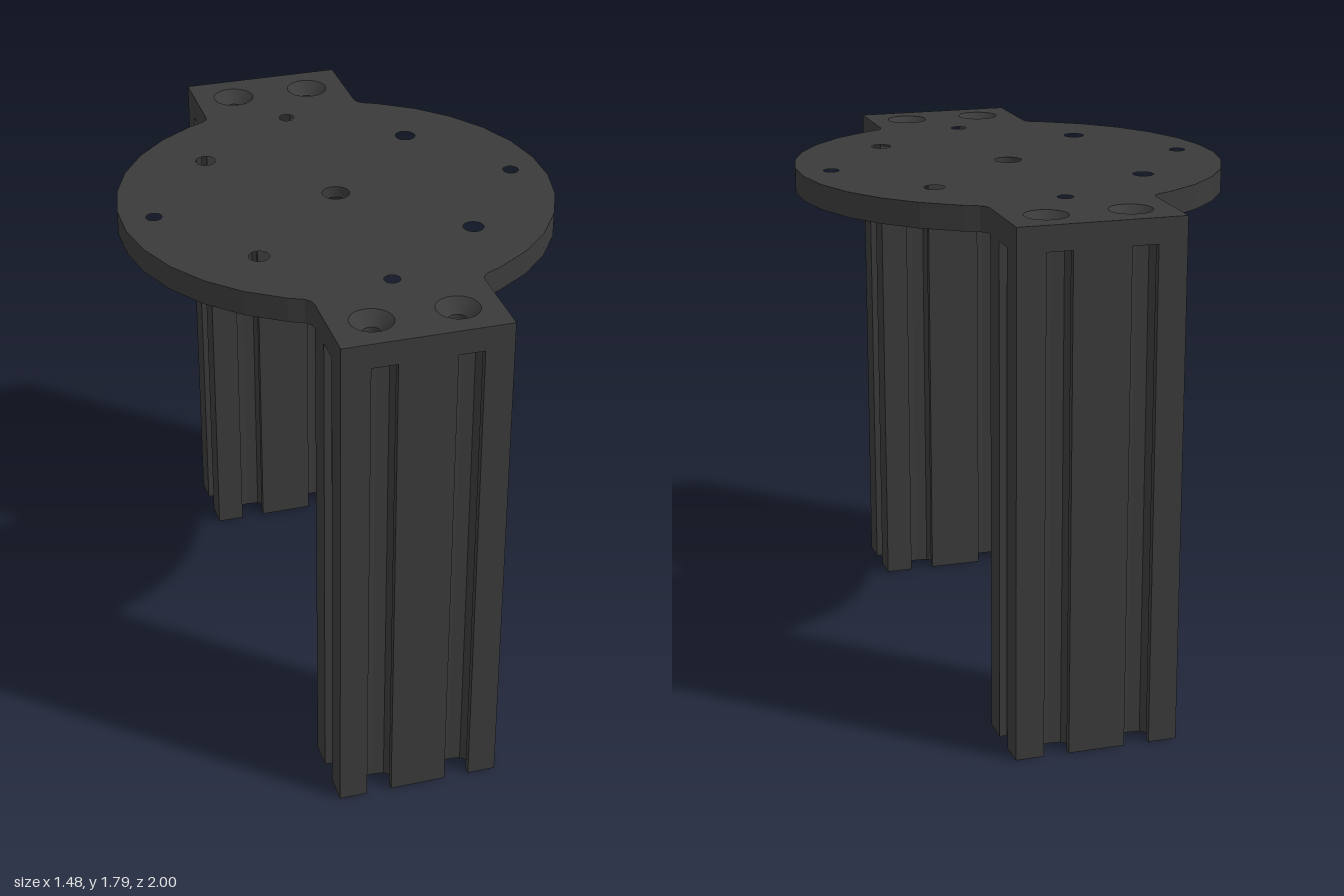
import * as THREE from 'three';

const MM = 0.014;          // one millimetre in model units
const LEG_TOP = 1.705;
const PLATE = 0.085;       // plate thickness

const material = new THREE.MeshStandardMaterial({ color: 0x3a3a3a });
const insertMaterial = new THREE.MeshStandardMaterial({
  color: 0x3a3a3a, flatShading: true, side: THREE.DoubleSide });

const V = (x, y) => new THREE.Vector2(x, y);

function circleHole(x, y, r) {
  return new THREE.Path().absarc(x, y, r, 0, Math.PI * 2, true);
}

// Extrude a flat shape upwards along y
function extrudeUp(shape, depth, curveSegments) {
  return new THREE.ExtrudeGeometry(shape, { depth, bevelEnabled: false, curveSegments })
    .rotateX(-Math.PI / 2);
}

// One T-slot: (sideways, outward) points in mm, turned to face angle a
const SLOT = [[-3.1, 10], [-3.1, 8.2], [-5.5, 8.2], [-5.5, 6.5], [-3, 4], [0, 3.7],
  [3, 4], [5.5, 6.5], [5.5, 8.2], [3.1, 8.2], [3.1, 10]];

function slotPoints(cx, quarter) {
  const a = quarter * Math.PI / 2;
  return SLOT.map(([u, v]) => V(
    (cx + v * Math.cos(a) - u * Math.sin(a)) * MM,
    (v * Math.sin(a) + u * Math.cos(a)) * MM));
}

// Double slotted profile with two bores and a hollow middle
function legGeometry() {
  const corner = (sx, sy) => V(sx * 20 * MM, sy * 10 * MM);
  const shape = new THREE.Shape([
    corner(-1, -1), ...slotPoints(-10, 3), ...slotPoints(10, 3),
    corner(1, -1), ...slotPoints(10, 0),
    corner(1, 1), ...slotPoints(10, 1), ...slotPoints(-10, 1),
    corner(-1, 1), ...slotPoints(-10, 2),
  ]);
  const hollow = [[-6, -3], [-3.5, -5.5], [-2.9, -8.2], [2.9, -8.2], [3.5, -5.5], [6, -3],
    [6, 3], [3.5, 5.5], [2.9, 8.2], [-2.9, 8.2], [-3.5, 5.5], [-6, 3]];
  shape.holes.push(new THREE.Path(hollow.map(([x, y]) => V(x * MM, y * MM))));
  for (const s of [-1, 1]) shape.holes.push(circleHole(s * 10 * MM, 0, 2.1 * MM));
  return extrudeUp(shape, LEG_TOP, 12);
}

// Disc with two tabs and small fillets between them
function plateShape() {
  const quarter = [V(0.28, 1), V(0.28, 0.715), V(0.285, 0.695), V(0.3, 0.679)];
  for (let i = 5; i >= 0; i--) {
    const a = (i + 0.5) * Math.PI / 16;
    quarter.push(V(0.743 * Math.cos(a), 0.743 * Math.sin(a)));
  }
  const flip = (sx, sy) => quarter.map((p) => V(p.x * sx, p.y * sy));
  return new THREE.Shape([
    ...flip(1, 1), ...flip(1, -1).reverse(), ...flip(-1, -1), ...flip(-1, 1).reverse()]);
}

// Conical seat filling a wide hole, open on top
function countersink(r, R, depth) {
  return new THREE.LatheGeometry(
    [V(R, 0), V(r, 0), V(r, PLATE - depth), V(R, PLATE)], 32);
}

export function createModel() {
  const group = new THREE.Group();
  const add = (geometry, name, x, y, z, mat = material) => {
    const mesh = new THREE.Mesh(geometry, mat);
    mesh.name = name;
    mesh.position.set(x, y, z);
    group.add(mesh);
    return mesh;
  };

  // Legs
  const leg = legGeometry();
  add(leg, 'frontLeg', 0, 0, 0.86);
  add(leg, 'backLeg', 0, 0, -0.86);

  // Top plate and its holes
  const shape = plateShape();
  shape.holes.push(circleHole(0, 0, 0.09));
  const seat = countersink(0.03, 0.072, 0.042);
  for (const s of [-1, 1]) {
    shape.holes.push(circleHole(s * 0.63, 0, 0.027), circleHole(0, s * 0.63, 0.027));
    for (const t of [-1, 1]) {
      shape.holes.push(circleHole(s * 0.365, t * 0.365, 0.035));
      shape.holes.push(circleHole(s * 0.14, t * 0.86, 0.072));
      add(seat, 'screwSeat', s * 0.14, LEG_TOP, t * 0.86, insertMaterial);
    }
  }
  add(extrudeUp(shape, PLATE, 16), 'topPlate', 0, LEG_TOP, 0);

  // Centre hole, widening downwards
  const centre = add(countersink(0.047, 0.09, 0.045), 'centreSeat', 0, LEG_TOP + PLATE, 0, insertMaterial);
  centre.rotation.x = Math.PI;

  return group;
}
